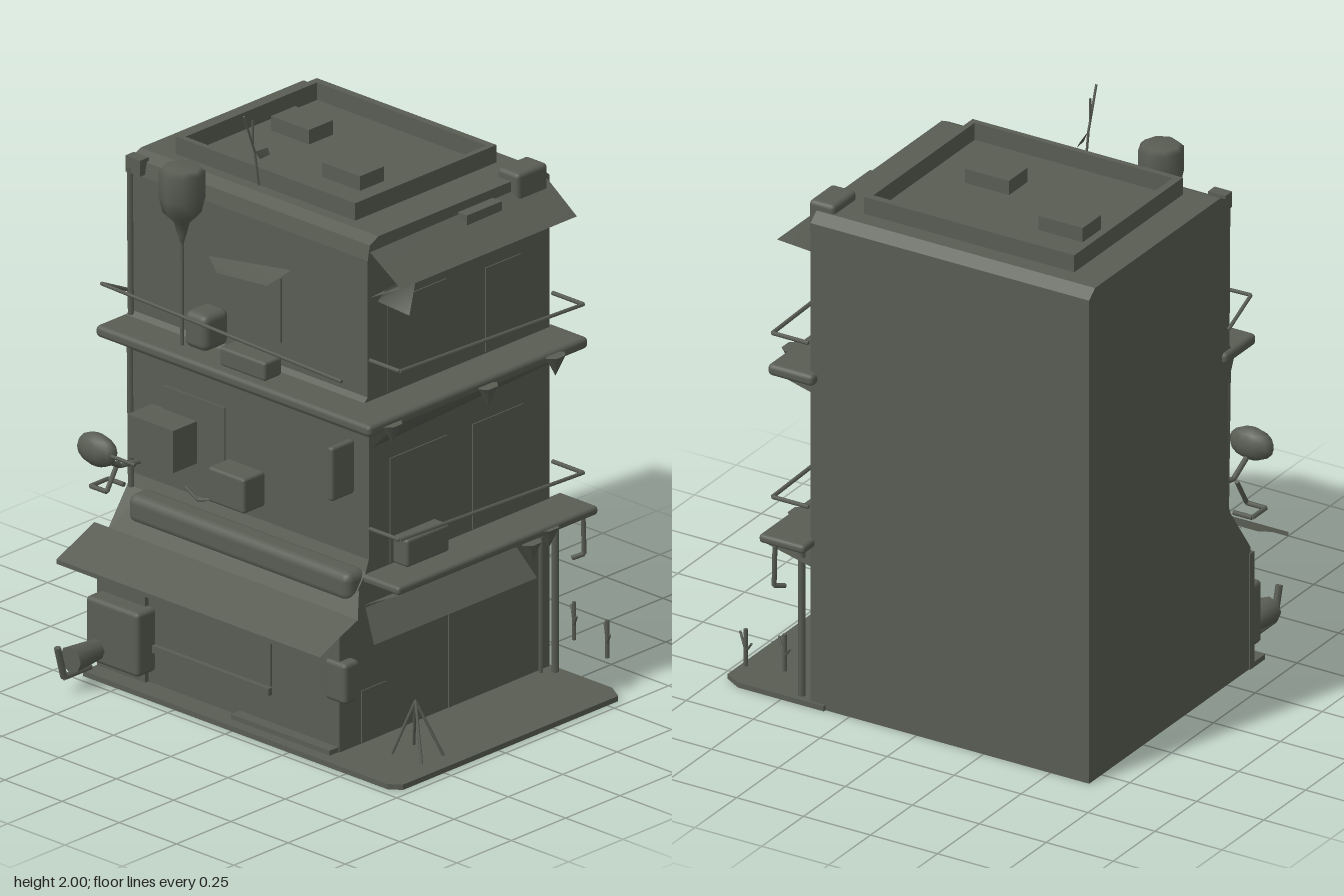
import * as THREE from 'three';
import { RoundedBoxGeometry } from 'three/addons/geometries/RoundedBoxGeometry.js';

export function createModel() {
  const model = new THREE.Group();
  model.name = 'cornerBuilding';
  const plaster = new THREE.MeshStandardMaterial({ color: 0x595d53, side: THREE.DoubleSide });
  plaster.name = 'greyGreenPlaster';

  const add = (name, geometry) => {
    const mesh = new THREE.Mesh(geometry, plaster);
    mesh.name = name;
    model.add(mesh);
    return mesh;
  };
  // Box given by its extents on each axis, optionally rounded
  const box = (name, [x0, x1], [y0, y1], [z0, z1], r = 0) => {
    const s = [x1 - x0, y1 - y0, z1 - z0];
    const g = r ? new RoundedBoxGeometry(...s, 2, r) : new THREE.BoxGeometry(...s);
    return add(name, g.translate((x0 + x1) / 2, (y0 + y1) / 2, (z0 + z1) / 2));
  };
  // Sheet with four corners
  const sheet = (name, a, b, c, d) => {
    const g = new THREE.BufferGeometry();
    g.setAttribute('position', new THREE.Float32BufferAttribute([...a, ...b, ...c, ...d], 3));
    g.setIndex([0, 1, 2, 0, 2, 3]);
    g.computeVertexNormals();
    return add(name, g);
  };
  // Straight bars joined end to end
  const bars = (name, r, ...points) => {
    const p = points.map((q) => new THREE.Vector3(...q));
    for (let i = 1; i < p.length; i++) {
      const dir = p[i].clone().sub(p[i - 1]);
      const g = new THREE.CylinderGeometry(r, r, dir.length(), 6);
      const mesh = add(name, g);
      mesh.position.copy(p[i]).add(p[i - 1]).multiplyScalar(0.5);
      mesh.quaternion.setFromUnitVectors(new THREE.Vector3(0, 1, 0), dir.normalize());
    }
  };

  // Main walls: side profile (z, y) swept across the width, open underneath
  const profile = [[0.39, 0], [0.39, 0.43], [0.27, 0.6], [0.255, 0.64], [0.255, 1.06], [0.3, 1.16],
    [0.26, 1.2], [0.26, 1.67], [0.25, 1.72], [0.21, 1.74], [-0.54, 1.74], [-0.575, 1.71], [-0.575, 0]];
  const body = new THREE.ExtrudeGeometry(
    new THREE.Shape(profile.map((p) => new THREE.Vector2(...p))), { depth: 1.04, bevelEnabled: false });
  body.rotateY(-Math.PI / 2).translate(0.395, 0, 0);
  const src = body.attributes.position.array;
  const kept = [];
  for (let i = 0; i < src.length; i += 9) {
    if (src[i + 1] + src[i + 4] + src[i + 7] > 0.001) kept.push(...src.slice(i, i + 9));
  }
  const walls = new THREE.BufferGeometry();
  walls.setAttribute('position', new THREE.Float32BufferAttribute(kept, 3));
  walls.computeVertexNormals();
  add('walls', walls);

  // Pavement beside and in front
  const pave = new THREE.Shape();
  [[0.34, 0.585], [0.66, 0.585], [0.72, 0.55], [0.72, -0.44], [0.68, -0.47], [-0.65, -0.47], [-0.65, -0.38], [0.34, -0.38]]
    .forEach(([x, y], i) => (i ? pave.lineTo(x, y) : pave.moveTo(x, y)));
  add('pavement', new THREE.ExtrudeGeometry(pave, { depth: 0.018, bevelEnabled: false }).rotateX(-Math.PI / 2));
  box('doorStep', [-0.04, 0.39], [0.018, 0.035], [0.38, 0.43]);

  // Roof parapet and hatches
  const rim = new THREE.Shape();
  rim.moveTo(-0.53, -0.17).lineTo(0.255, -0.17).lineTo(0.255, 0.48).lineTo(-0.53, 0.48);
  const hole = new THREE.Path();
  hole.moveTo(-0.505, -0.15).lineTo(-0.505, 0.455).lineTo(0.235, 0.455).lineTo(0.235, -0.15);
  rim.holes.push(hole);
  add('roofParapet', new THREE.ExtrudeGeometry(rim, { depth: 0.07, bevelEnabled: false })
    .rotateX(-Math.PI / 2).translate(0, 1.73, 0));
  box('roofHatch', [-0.44, -0.275], [1.73, 1.79], [-0.285, -0.175]);
  box('roofHatch', [-0.065, 0.1], [1.73, 1.79], [-0.125, -0.015]);

  // Upper balcony around front and right
  box('upperBalconyFront', [-0.66, 0.53], [1.145, 1.185], [0.22, 0.405], 0.015);
  box('upperBalconyRight', [0.37, 0.54], [1.145, 1.185], [-0.605, 0.405], 0.015);
  sheet('upperBalconySoffit', [0.395, 1.02, 0.24], [0.53, 1.15, 0.26], [0.53, 1.15, -0.58], [0.395, 1.1, -0.56]);
  // Lower balcony: sloped apron on the right, rolled canopy box in front
  box('lowerBalconyRight', [0.38, 0.55], [0.565, 0.595], [-0.64, 0.28], 0.012);
  sheet('lowerBalconyApron', [0.395, 0.49, 0.28], [0.55, 0.57, 0.28], [0.55, 0.57, -0.63], [0.395, 0.49, -0.57]);
  box('rolledShutter', [-0.58, 0.39], [0.51, 0.61], [0.25, 0.345], 0.03);

  // Awnings
  sheet('frontAwning', [-0.68, 0.42, 0.56], [0.47, 0.42, 0.56], [0.47, 0.495, 0.385], [-0.68, 0.495, 0.385]);
  sheet('frontAwningLip', [-0.68, 0.405, 0.56], [0.47, 0.405, 0.56], [0.47, 0.42, 0.56], [-0.68, 0.42, 0.56]);
  sheet('frontAwningFlashing', [-0.62, 0.49, 0.385], [0.47, 0.49, 0.385], [0.395, 0.55, 0.3], [-0.6, 0.55, 0.3]);
  sheet('rightAwning', [0.47, 0.385, 0.31], [0.47, 0.385, -0.44], [0.395, 0.48, -0.42], [0.395, 0.48, 0.27]);
  sheet('roofAwning', [0.53, 1.61, 0.25], [0.53, 1.61, -0.56], [0.39, 1.71, -0.56], [0.39, 1.7, 0.25]);
  sheet('roofAwningUnderside', [0.53, 1.61, 0.25], [0.395, 1.54, 0.25], [0.395, 1.6, -0.56], [0.53, 1.61, -0.56]);
  sheet('windowAwning', [-0.29, 1.49, 0.27], [-0.16, 1.5, 0.37], [0.06, 1.52, 0.37], [0.06, 1.54, 0.26]);
  sheet('looseFlap', [0.4, 1.52, 0.22], [0.52, 1.5, 0.2], [0.5, 1.6, 0.15], [0.45, 1.59, 0.22]);

  // Doors and windows as thin plates: front [x, y], right side [z, y]
  for (const [x, y, z] of [[[-0.35, 0.1], [0.16, 0.4], 0.393], [[-0.5, -0.23], [0.73, 0.98], 0.258],
    [[-0.17, 0.02], [1.28, 1.5], 0.263]]) box('frontWindow', x, y, [z - 0.004, z + 0.003]);
  for (const [z, y] of [[[-0.1, 0.17], [1.19, 1.5]], [[-0.44, -0.28], [1.19, 1.48]], [[-0.1, 0.16], [0.6, 0.96]],
    [[-0.455, -0.22], [0.6, 0.96]], [[0.18, 0.29], [0.02, 0.2]], [[-0.4, -0.11], [0.02, 0.38]]])
    box('sideDoor', [0.392, 0.399], y, z);
  box('shopSill', [-0.44, 0.1], [0.13, 0.155], [0.38, 0.405]);
  box('shopPostLeft', [-0.65, -0.44], [0.018, 0.41], [0.38, 0.405]);

  // Units and boxes hung on the walls
  box('shopCabinet', [-0.64, -0.41], [0.06, 0.28], [0.38, 0.47], 0.015);
  box('wallUnitLarge', [-0.55, -0.35], [0.755, 0.9], [0.25, 0.37]);
  box('wallUnitSmall', [-0.22, -0.06], [0.69, 0.81], [0.25, 0.35], 0.01);
  box('balconyBarrel', [-0.3, -0.2], [1.21, 1.335], [0.265, 0.38], 0.025);
  box('balconyCrate', [-0.15, 0.05], [1.185, 1.25], [0.29, 0.37], 0.01);
  box('hangingSign', [0.315, 0.34], [0.855, 1.04], [0.26, 0.365], 0.01);
  box('shopLantern', [0.335, 0.43], [0.19, 0.33], [0.33, 0.4], 0.015);
  box('roofUnit', [0.33, 0.425], [1.64, 1.77], [-0.54, -0.4], 0.015);
  box('awningUnit', [0.385, 0.435], [1.645, 1.71], [-0.315, -0.155]);
  box('sideUnit', [0.39, 0.46], [0.595, 0.69], [-0.05, 0.145], 0.01);

  // Water tank with funnel and drain pipe
  const tank = [[0, 1.52], [0.015, 1.57], [0.025, 1.61], [0.062, 1.645], [0.075, 1.7], [0.075, 1.785], [0.06, 1.8], [0, 1.8]];
  add('waterTank', new THREE.LatheGeometry(tank.map((p) => new THREE.Vector2(...p)), 8).translate(-0.345, 0, 0.335));
  bars('tankPipe', 0.006, [-0.345, 1.56, 0.335], [-0.345, 1.48, 0.335], [-0.34, 1.19, 0.34]);

  // Railings
  bars('frontRail', 0.006, [-0.65, 1.26, 0.25], [-0.65, 1.325, 0.385], [0.4, 1.295, 0.385]);
  for (const [y0, y1] of [[1.325, 1.295], [0.745, 0.715]]) {
    bars('sideRail', 0.007, [0.39, y0, 0.25], [0.525, y0, 0.25], [0.525, y1, -0.595], [0.39, y1, -0.595]);
  }

  // Corner drainpipes
  bars('drainPipe', 0.012, [0.44, 0.01, -0.555], [0.44, 0.57, -0.555]);
  bars('drainPipe', 0.008, [0.41, 0.01, -0.52], [0.41, 0.57, -0.52]);
  bars('wallPipe', 0.01, [-0.625, 0.6, 0.275], [-0.635, 1.1, 0.27]);
  bars('wallPipe', 0.01, [-0.63, 1.19, 0.27], [-0.63, 1.7, 0.275]);
  box('pipeBox', [-0.645, -0.58], [1.68, 1.735], [0.24, 0.28]);

  // Roof aerial
  bars('aerial', 0.004, [-0.165, 1.73, 0.17], [-0.165, 1.86, 0.19], [-0.16, 2, 0.245]);
  bars('aerialArm', 0.004, [-0.165, 1.89, 0.2], [-0.165, 1.97, 0.2]);
  sheet('aerialVane', [-0.165, 1.86, 0.19], [-0.175, 1.85, 0.12], [-0.165, 1.83, 0.12], [-0.16, 1.83, 0.17]);

  // Round lamp with bracket on the left front corner
  add('cornerLamp', new THREE.SphereGeometry(1, 10, 8).scale(0.082, 0.056, 0.04).translate(-0.625, 0.775, 0.43));
  bars('lampBracket', 0.009, [-0.62, 0.74, 0.42], [-0.62, 0.69, 0.33], [-0.6, 0.69, 0.26]);
  bars('lampArm', 0.006, [-0.6, 0.775, 0.44], [-0.45, 0.775, 0.44]);
  bars('wallHoop', 0.008, [-0.65, 0.6, 0.28], [-0.72, 0.6, 0.28], [-0.72, 0.6, 0.36], [-0.65, 0.6, 0.36], [-0.65, 0.7, 0.3]);
  bars('hangingCable', 0.006, [-0.39, 0.665, 0.27], [-0.3, 0.66, 0.31], [-0.22, 0.675, 0.28]);

  // Bucket on an arm by the shop
  add('bucket', new THREE.CylinderGeometry(0.045, 0.035, 0.12, 8).rotateX(Math.PI / 2).translate(-0.59, 0.11, 0.53));
  bars('bucketArm', 0.012, [-0.59, 0.06, 0.5], [-0.59, 0.06, 0.62], [-0.59, 0.17, 0.65]);

  // Folding stand on the pavement
  for (const z of [0.18, 0.28]) bars('foldingStand', 0.005, [0.52, 0.018, z], [0.575, 0.2, 0.23], [0.65, 0.018, z]);

  // Twigs hung at the back corner and trailing plants under the balconies
  for (const [x, y] of [[0.615, 0.1], [0.47, 0.12]]) {
    bars('twig', 0.007, [x, y, -0.61], [x, y + 0.13, -0.61]);
    for (const s of [-1, 1]) {
      bars('twigBranch', 0.004, [x, y + 0.05, -0.61], [x + s * 0.04, y + 0.1, -0.61 + s * 0.03]);
    }
  }
  for (const [x, y, z] of [[0.55, 1.13, -0.13], [0.55, 1.14, -0.44], [0.55, 0.53, -0.33], [0.54, 0.55, -0.42], [0.54, 1.13, 0.3]]) {
    add('trailingPlant', new THREE.ConeGeometry(0.035, 0.07, 6).rotateX(Math.PI).scale(0.8, 1, 1.2).translate(x, y, z));
  }
  bars('balconyHook', 0.008, [0.5, 0.56, -0.62], [0.5, 0.42, -0.625], [0.48, 0.41, -0.59]);
  return model;
}
